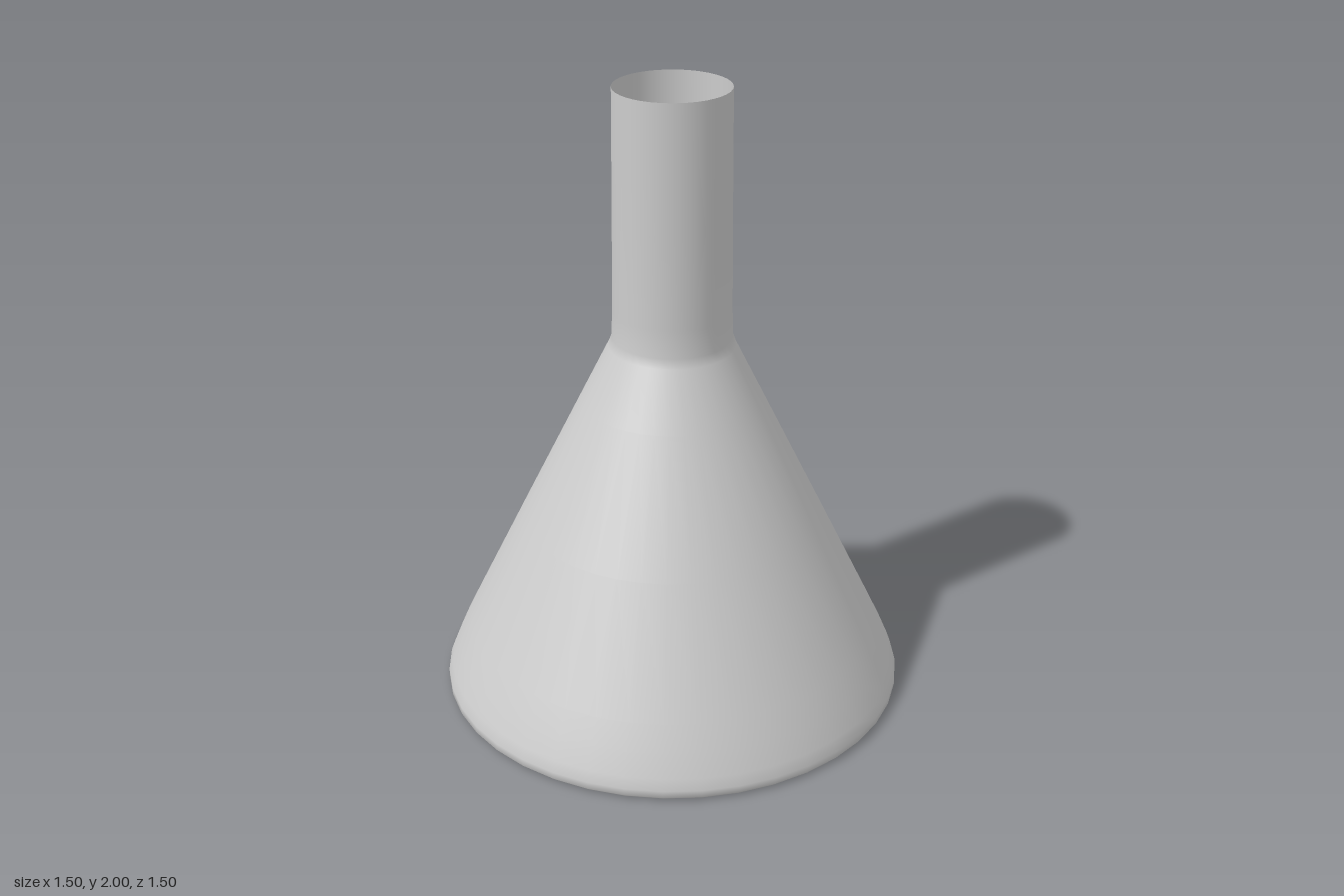
import * as THREE from 'three';

const SEGMENTS = 40;

// Revolves a list of [radius, height] points around the y axis.
function lathe(name, points, material) {
  const profile = points.map(([r, y]) => new THREE.Vector2(r, y));
  const mesh = new THREE.Mesh(new THREE.LatheGeometry(profile, SEGMENTS), material);
  mesh.name = name;
  return mesh;
}

export function createModel() {
  const group = new THREE.Group();
  group.name = 'conicalFlask';
  const material = new THREE.MeshStandardMaterial({ color: 0xcccccc, side: THREE.DoubleSide });

  // Thin wall: rounded foot, conical body and open, slightly tapering neck
  group.add(lathe('flaskWall', [
    [0.735, 0], [0.748, 0.012], [0.748, 0.035], [0.735, 0.07],
    [0.705, 0.14], [0.667, 0.22], [0.483, 0.6], [0.288, 1.0],
    [0.2, 1.18], [0.189, 1.21], [0.186, 1.3], [0.183, 1.6], [0.18, 2],
  ], material));

  // Flat floor closing the bottom
  group.add(lathe('flaskFloor', [[0, 0], [0.735, 0]], material));

  return group;
}
